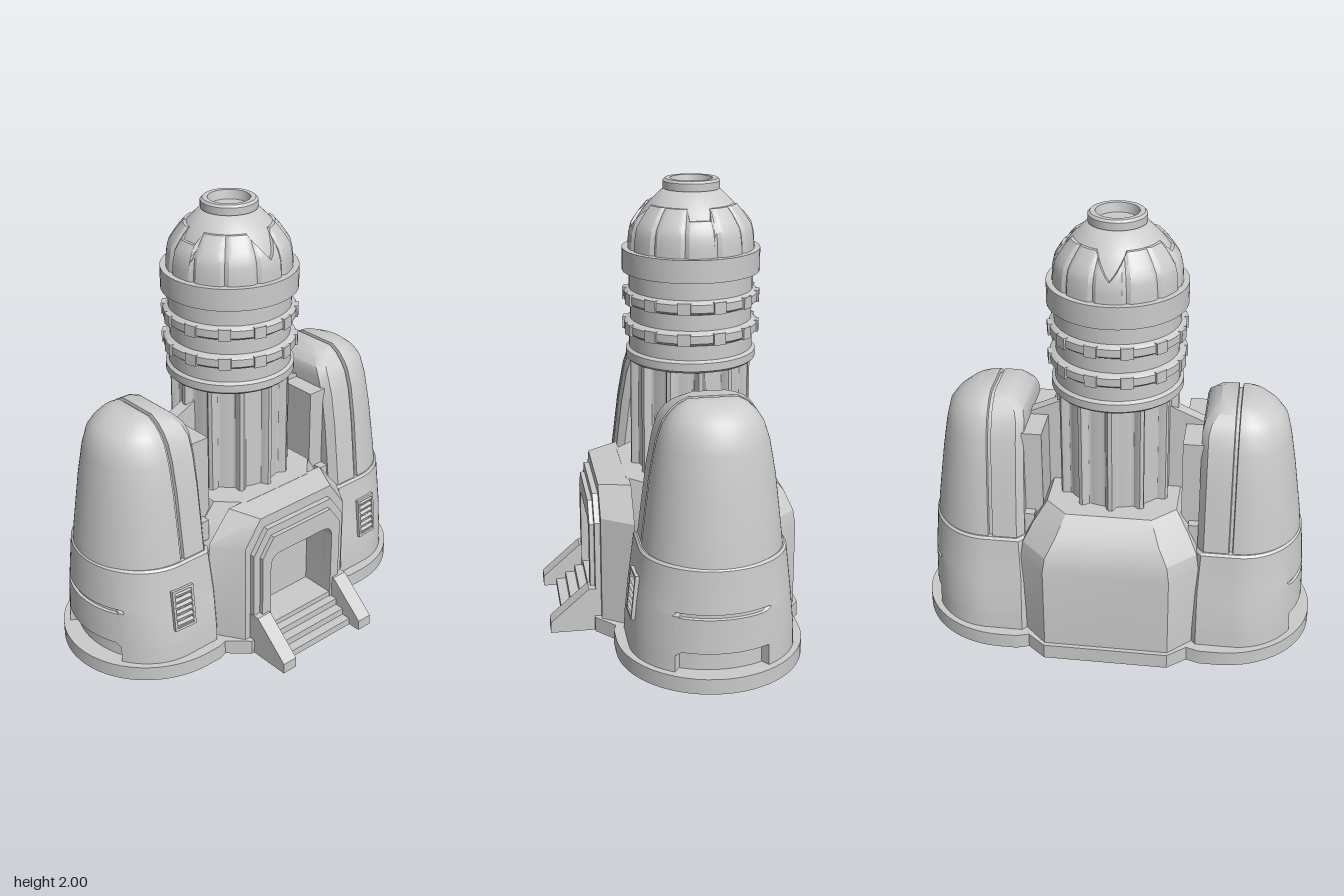
import * as THREE from 'three';
import { mergeGeometries, toCreasedNormals } from 'three/addons/utils/BufferGeometryUtils.js';

const ZC = -0.11; // z of the tower axis and the side pods
const material = new THREE.MeshStandardMaterial({ color: 0xcccccc });

// Skin a list of closed rings (counter-clockwise seen from above), bottom to top
function loft(rings, cap = true) {
  const n = rings[0].length, index = [];
  for (let j = 0; j < rings.length - 1; j++) {
    for (let i = 0; i < n; i++) {
      const a = j * n + i, b = j * n + (i + 1) % n;
      index.push(a, b, b + n, a, b + n, a + n);
    }
  }
  // Cap strip joins each front point to its opposite back point
  const t = (rings.length - 1) * n;
  for (let i = 0; cap && i < n / 2 - 1; i++) {
    const a = t + i, b = t + i + 1, c = t + n - 2 - i, d = t + n - 1 - i;
    index.push(a, b, c, a, c, d);
  }
  const g = new THREE.BufferGeometry();
  g.setAttribute('position', new THREE.Float32BufferAttribute(rings.flat(2), 3));
  g.setIndex(index);
  return g;
}

// Ring around the tower axis from a radius rule and a height rule
function polarRing(n, radius, height) {
  return Array.from({ length: n }, (_, i) => {
    const a = i / n * Math.PI * 2, r = radius(a, i);
    return [Math.cos(a) * r, height(a, i), ZC - Math.sin(a) * r];
  });
}

function box(w, h, d, x, y, z) {
  return new THREE.BoxGeometry(w, h, d).translate(x, y, z);
}

function merge(list) {
  return mergeGeometries(list.map(g => {
    const m = g.index ? g.toNonIndexed() : g;
    m.deleteAttribute('uv');
    return m;
  }));
}

function mirrorX(geo) {
  const g = geo.index ? geo.toNonIndexed() : geo.clone();
  g.scale(-1, 1, 1);
  const p = g.attributes.position, u = new THREE.Vector3(), v = new THREE.Vector3();
  for (let i = 0; i < p.count; i += 3) {
    u.fromBufferAttribute(p, i + 1);
    v.fromBufferAttribute(p, i + 2);
    p.setXYZ(i + 1, v.x, v.y, v.z);
    p.setXYZ(i + 2, u.x, u.y, u.z);
  }
  return g;
}

// D-shaped pod ring: flat inside, round outside, optional seam and outer dent
function podRing([y, xOut, hz, xIn, dent = 0], groove) {
  const cx = 0.565, front = [[xIn, y, hz - 0.035], [xIn + 0.03, y, hz]];
  const g = groove ? 0.014 : 0;
  front.push([0.53, y, hz], [0.533, y - g, hz - g], [0.547, y - g, hz - g], [0.55, y, hz]);
  for (let i = 0; i < 20; i++) {
    const a = (i + 0.5) / 20 * Math.PI / 2, z = hz * Math.cos(a);
    front.push([cx + (xOut - cx) * Math.sin(a) - (z < 0.19 ? dent : 0), y, z]);
  }
  const back = front.map(([x, h, z]) => [x, h, -z]).reverse();
  return [...front, ...back].map(([x, h, z]) => [x, h, z + ZC]);
}

// Doorway frame open at the bottom, with cut upper corners
function archFrame(w, h, c, iw, ih, depth) {
  const s = new THREE.Shape(), r = 0.06;
  s.moveTo(w, 0).lineTo(w, h - c * 1.4).lineTo(w - c, h).lineTo(c - w, h).lineTo(-w, h - c * 1.4);
  s.lineTo(-w, 0).lineTo(-iw, 0).lineTo(-iw, ih - r).quadraticCurveTo(-iw, ih, r - iw, ih);
  s.lineTo(iw - r, ih).quadraticCurveTo(iw, ih, iw, ih - r).lineTo(iw, 0);
  return new THREE.ExtrudeGeometry(s, { depth, bevelEnabled: false, curveSegments: 6 });
}

function plate(points, height) {
  const s = new THREE.Shape(points.map(([x, z]) => new THREE.Vector2(x, -z)));
  return new THREE.ExtrudeGeometry(s, { depth: height, bevelEnabled: false }).rotateX(-Math.PI / 2);
}

function lathe(profile) {
  return new THREE.LatheGeometry(profile.map(p => new THREE.Vector2(...p)), 48).translate(0, 0, ZC);
}

export function createModel() {
  const model = new THREE.Group();
  const add = (name, geo, crease = 0.55) => {
    const mesh = new THREE.Mesh(toCreasedNormals(geo, crease), material);
    mesh.name = name;
    model.add(mesh);
  };
  const addPair = (name, geo) => {
    add('left' + name, geo);
    add('right' + name, mirrorX(geo));
  };

  // Base plates
  add('centreBase', plate([[-0.4, 0.27], [-0.29, 0.37], [0.29, 0.37], [0.4, 0.27],
    [0.4, -0.47], [0.28, -0.57], [-0.28, -0.57], [-0.4, -0.47]], 0.07));
  const podBase = [[0.36, 0.28], [0.42, 0.3]];
  for (let i = 0; i <= 32; i++) {
    const a = i / 32 * Math.PI;
    podBase.push([0.5 + 0.41 * Math.sin(a), ZC + 0.41 * Math.cos(a)]);
  }
  podBase.push([0.42, -0.52], [0.36, -0.5]);
  addPair('PodBase', plate(podBase, 0.07));

  // Side pods: [y, outer x, half depth, inner x, outer dent]
  const lower = [[0, 0.875, 0.365, 0.37, 0.045], [0.145, 0.87, 0.36, 0.37, 0.045], [0.165, 0.87, 0.358, 0.37],
    [0.318, 0.865, 0.343, 0.37], [0.322, 0.865, 0.342, 0.37, 0.012], [0.335, 0.864, 0.341, 0.37, 0.012],
    [0.34, 0.863, 0.34, 0.37], [0.53, 0.848, 0.318, 0.38], [0.54, 0.838, 0.308, 0.39]];
  addPair('PodLower', loft(lower.map(r => podRing(r, false))));
  const upper = [[0.52, 0.843, 0.304, 0.39], [0.6, 0.835, 0.295, 0.39], [0.85, 0.8, 0.265, 0.39],
    [1.0, 0.775, 0.238, 0.39], [1.08, 0.755, 0.212, 0.39], [1.12, 0.725, 0.185, 0.4],
    [1.155, 0.68, 0.15, 0.43], [1.18, 0.62, 0.105, 0.46]];
  addPair('PodUpper', loft(upper.map(r => podRing(r, true))));

  // Louvred vents on the pod fronts
  const vent = [-1, 1].flatMap(s => [box(0.012, 0.2, 0.03, s * 0.05, 0, 0), box(0.11, 0.012, 0.03, 0, s * 0.095, 0)]);
  for (let i = 0; i < 6; i++) {
    vent.push(new THREE.BoxGeometry(0.095, 0.018, 0.02).rotateX(0.5).translate(0, -0.075 + i * 0.03, 0.004));
  }
  addPair('Vent', merge(vent).rotateX(-0.1).rotateY(0.06).translate(0.575, 0.325, 0.228));

  // Central body
  const body = [[0, 0.4, 0.22, -0.55, 0.12], [0.46, 0.4, 0.22, -0.55, 0.12], [0.53, 0.39, 0.22, -0.54, 0.12],
    [0.61, 0.35, 0.22, -0.505, 0.12], [0.7, 0.29, 0.21, -0.43, 0.1]];
  add('body', loft(body.map(([y, w, f, b, c]) => [[-w, y, f - c], [c - w, y, f], [w - c, y, f], [w, y, f - c],
    [w, y, b + c], [w - c, y, b], [c - w, y, b], [-w, y, b + c]])), 0.35);

  // Porch widens towards the body
  const porch = archFrame(0.305, 0.685, 0.09, 0.19, 0.5, 0.14);
  const p = porch.attributes.position;
  for (let i = 0; i < p.count; i++) {
    const outer = Math.abs(p.getX(i)) > 0.2 || p.getY(i) > 0.6;
    if (outer && p.getZ(i) < 0.01) p.setXYZ(i, p.getX(i) * 1.3, p.getY(i) > 0.6 ? 0.7 : p.getY(i), 0);
  }
  add('porch', porch.translate(0, 0, 0.2));
  add('doorFrameOuter', archFrame(0.275, 0.635, 0.08, 0.19, 0.5, 0.03).translate(0, 0, 0.335));
  add('doorFrameInner', archFrame(0.24, 0.595, 0.065, 0.19, 0.5, 0.06).translate(0, 0, 0.325));

  // Entrance floor, steps and rails
  const steps = [box(0.38, 0.125, 0.17, 0, 0.0625, 0.295)];
  for (let i = 0; i < 3; i++) steps.push(box(0.4, 0.1 - i * 0.033, 0.16 + i * 0.045, 0, 0.05 - i * 0.0165, 0.34 + i * 0.0225));
  add('steps', merge(steps));
  const rail = new THREE.Shape([[0.33, 0], [0.57, 0], [0.57, 0.05], [0.395, 0.205], [0.33, 0.205]]
    .map(q => new THREE.Vector2(...q)));
  const railGeo = new THREE.ExtrudeGeometry(rail, { depth: 0.075, bevelEnabled: false });
  addPair('Rail', railGeo.rotateY(-Math.PI / 2).translate(0.277, 0, 0));

  // Walls bracing the tower against the pods
  const brace = new THREE.Shape([[0.2, 0.6], [0.4, 0.6], [0.4, 1.04], [0.2, 1.13]].map(q => new THREE.Vector2(...q)));
  addPair('Strut', new THREE.ExtrudeGeometry(brace, { depth: 0.06, bevelEnabled: false }).translate(0, 0, ZC - 0.03));
  addPair('BraceWall', merge([box(0.09, 0.45, 0.42, 0.355, 0.805, ZC), box(0.05, 0.1, 0.5, 0.37, 0.59, ZC)]));

  // Fluted column
  const flute = a => 0.272 - 0.035 * THREE.MathUtils.clamp(3 * Math.abs(Math.sin(6 * a)) - 0.8, 0, 1);
  add('column', loft([0.66, 1.22].map(y => polarRing(192, flute, () => y)), false));

  // Banded upper tower, dome and open crown
  add('upperTower', lathe([[0.2, 1.19], [0.28, 1.2], [0.29, 1.21], [0.29, 1.245], [0.275, 1.255], [0.275, 1.32],
    [0.285, 1.325], [0.297, 1.335], [0.297, 1.37], [0.285, 1.38], [0.27, 1.385], [0.27, 1.455], [0.285, 1.46],
    [0.297, 1.47], [0.297, 1.505], [0.285, 1.515], [0.275, 1.52], [0.275, 1.6], [0.305, 1.6], [0.305, 1.7], [0.25, 1.7]]));
  const dome = [[0.265, 1.69], [0.262, 1.76], [0.25, 1.81], [0.2, 1.88], [0.135, 1.945], [0.11, 1.955]];
  add('dome', lathe([...dome, [0.125, 1.957], [0.125, 1.99], [0.115, 2], [0.093, 2], [0.085, 1.96], [0, 1.96]]));

  // Clasps around both bands
  const clasps = [];
  for (const y of [1.352, 1.488]) {
    for (let i = 0; i < 12; i++) {
      clasps.push(box(0.055, 0.052, 0.03, 0, y, 0.289).rotateY((i + 0.5) * Math.PI / 6).translate(0, 0, ZC));
    }
  }
  add('bandClasps', merge(clasps));

  // Armour shell on the dome with notched upper edge and panel seams
  const domeRadius = y => {
    const k = Math.max(1, dome.findIndex(d => d[1] >= y)), [r0, y0] = dome[k - 1], [r1, y1] = dome[k];
    return r0 + (r1 - r0) * (y - y0) / (y1 - y0);
  };
  const edge = a => {
    const toFront = Math.acos(Math.min(1, Math.abs(Math.sin(a))));
    const toSide = Math.PI / 2 - toFront;
    if (toSide < 0.24) return 1.85;
    return 1.79 + 0.105 * Math.min(1, toFront / 0.32);
  };
  const shell = [0, 0.2, 0.4, 0.55, 0.7, 0.85, 1, 1].map((t, j) => {
    const h = a => 1.695 + t * (edge(a) - 1.695);
    return polarRing(96, (a, i) => domeRadius(h(a)) + (j === 7 ? -0.01 : i % 8 === 4 ? 0.004 : 0.014), h);
  });
  add('domeShell', loft(shell, false));

  return model;
}
